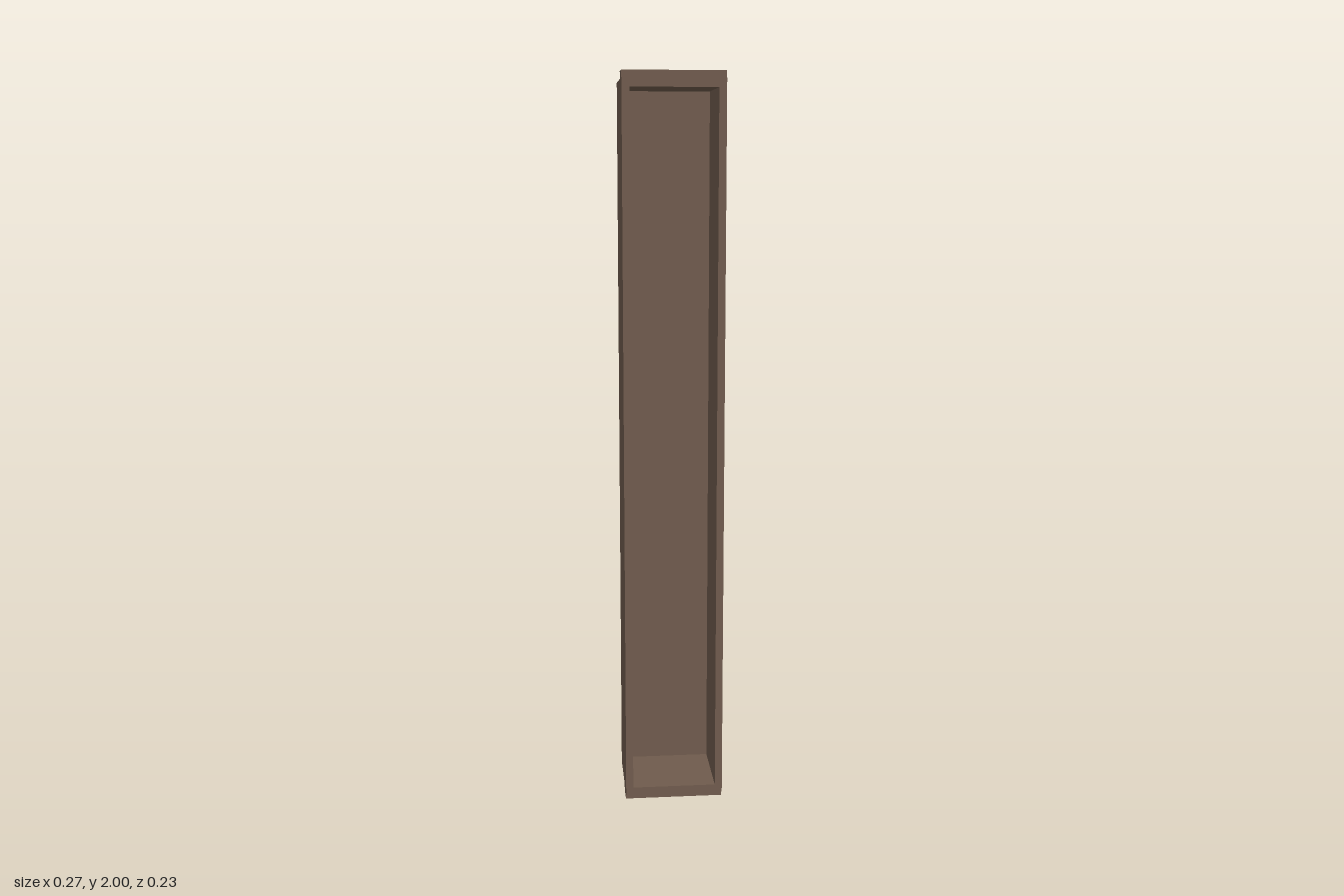
import * as THREE from 'three';

const wood = new THREE.MeshStandardMaterial({ color: 0x6f5b4d });
wood.name = 'brown wood';

// Box given by its lower and upper bounds on each axis
function box(name, [x0, x1], [y0, y1], [z0, z1]) {
  const mesh = new THREE.Mesh(new THREE.BoxGeometry(x1 - x0, y1 - y0, z1 - z0), wood);
  mesh.position.set((x0 + x1) / 2, (y0 + y1) / 2, (z0 + z1) / 2);
  mesh.name = name;
  return mesh;
}

// Traces a rectangle onto a shape or hole path
function rect(path, x0, x1, y0, y1) {
  return path.moveTo(x0, y0).lineTo(x1, y0).lineTo(x1, y1).lineTo(x0, y1).closePath();
}

export function createModel() {
  const group = new THREE.Group();
  group.name = 'openCase';

  const left = -0.137, right = 0.133, bottom = 0.026, top = 1.979;
  const back = -0.117, front = 0.114, wall = 0.02, panel = 0.024;

  // Four walls around the deep opening
  const outline = rect(new THREE.Shape(), left, right, bottom, top);
  outline.holes.push(rect(new THREE.Path(), left + wall, right - wall, bottom + 0.023, top - 0.023));
  const walls = new THREE.Mesh(
    new THREE.ExtrudeGeometry(outline, { depth: front - back, bevelEnabled: false }), wood);
  walls.position.z = back;
  walls.name = 'caseWalls';
  group.add(walls);

  // Back panel closing the case
  group.add(box('backPanel', [left + wall, right - wall], [bottom + 0.023, top - 0.023], [back, back + panel]));

  // Rails running across the top and bottom
  group.add(box('topRail', [-0.136, 0.136], [top, 2], [0.021, 0.081]));
  group.add(box('bottomRail', [-0.136, 0.136], [0, bottom], [0.017, 0.079]));

  return group;
}
